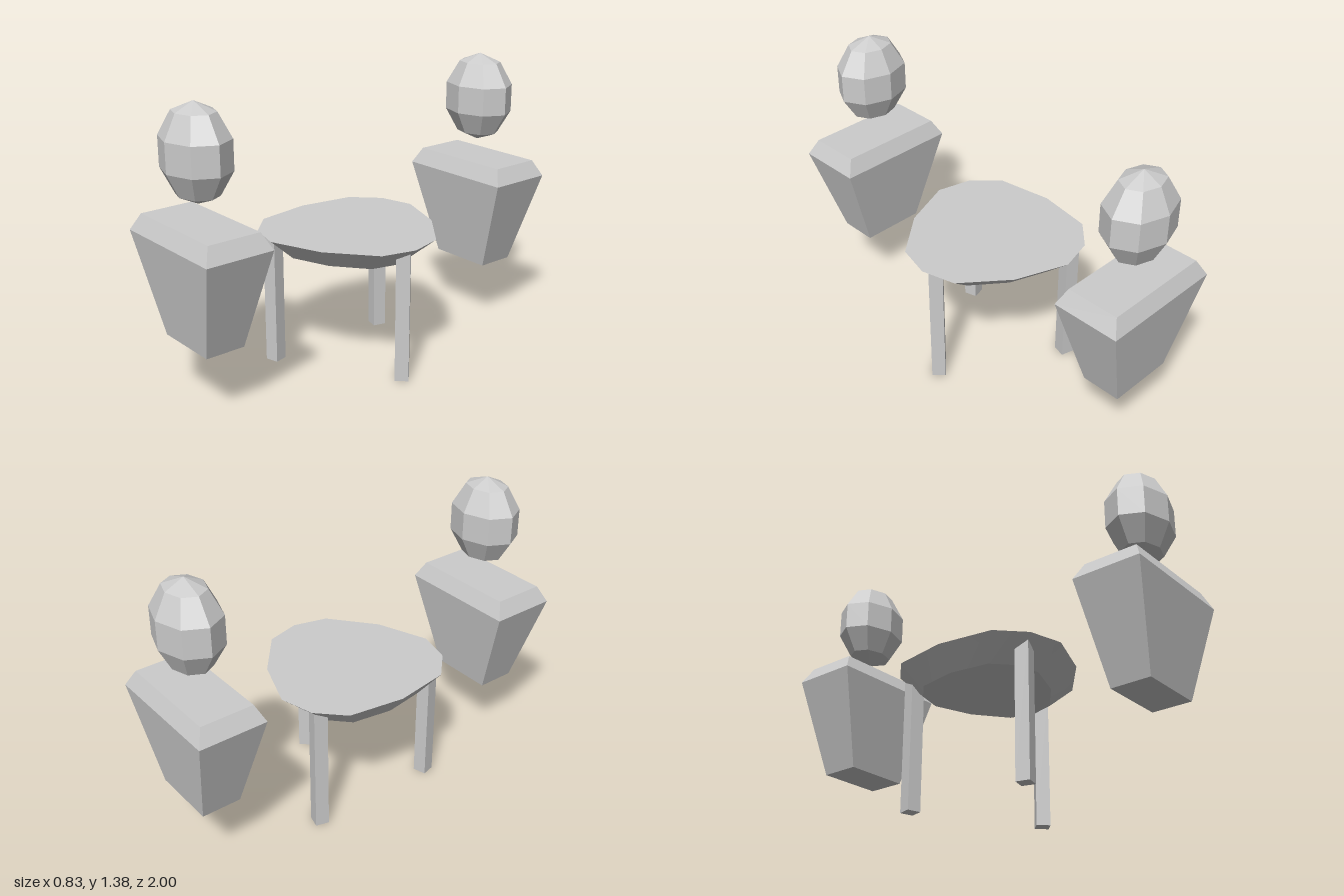
import * as THREE from 'three';
import { toCreasedNormals } from 'three/addons/utils/BufferGeometryUtils.js';

const material = new THREE.MeshStandardMaterial({ color: 0xcccccc, flatShading: true });
const smoothMaterial = new THREE.MeshStandardMaterial({ color: 0xcccccc });

function addMesh(parent, name, geometry, mat = material) {
  const mesh = new THREE.Mesh(geometry, mat);
  mesh.name = name;
  parent.add(mesh);
  return mesh;
}

// Irregular rounded table top whose rim tapers down to a smaller underside
function tableTopGeometry() {
  const half = [[-0.09, 0.43], [0.16, 0.337], [0.37, 0.165], [0.413, 0]];
  const rest = [[-0.417, 0], [-0.375, 0.268], [-0.255, 0.387]];
  const outline = [
    ...half,
    ...half.slice(0, 3).reverse().map(([x, z]) => [x, -z]),
    ...rest.slice(1).reverse().map(([x, z]) => [x, -z]),
    ...rest,
  ];
  const n = outline.length;
  const geometry = new THREE.CylinderGeometry(1, 1, 1, n, 1);
  const p = geometry.attributes.position;
  for (let i = 0; i < p.count; i++) {
    const top = p.getY(i) > 0;
    const x = p.getX(i), z = p.getZ(i);
    const y = top ? 0.662 : 0.552;
    if (Math.hypot(x, z) < 0.5) {
      p.setXYZ(i, -0.03, y, 0);
      continue;
    }
    const k = (Math.round(Math.atan2(x, z) / (2 * Math.PI) * n) + n) % n;
    const [ox, oz] = outline[k];
    if (top) p.setXYZ(i, ox, y, oz);
    else p.setXYZ(i, ox * 0.735 - 0.026, y, oz * 0.71);
  }
  return toCreasedNormals(geometry, 0.6);
}

// Tapered torso block with a bevelled top: three stacked rectangles
function torsoGeometry() {
  const levels = [
    { y: 0.317, w: 0.322, d: 0.19 },
    { y: 0.785, w: 0.612, d: 0.328 },
    { y: 0.862, w: 0.528, d: 0.255 },
  ];
  const geometry = new THREE.BoxGeometry(1, 1, 1, 1, 2, 1);
  const p = geometry.attributes.position;
  for (let i = 0; i < p.count; i++) {
    const { y, w, d } = levels[Math.round((p.getY(i) + 0.5) * 2)];
    p.setXYZ(i, p.getX(i) * w, y, p.getZ(i) * d);
  }
  return geometry;
}

export function createModel() {
  const model = new THREE.Group();
  model.name = 'tableWithTwoFigures';

  // Table on three square legs, each turned corner-outward
  const table = new THREE.Group();
  table.name = 'table';
  model.add(table);
  addMesh(table, 'tableTop', tableTopGeometry(), smoothMaterial);
  const legHeight = 0.64;
  const legs = [[0.331, 0, 45], [-0.22, 0.325, 15], [-0.22, -0.325, -15]];
  legs.forEach(([x, z, turn], i) => {
    const leg = addMesh(table, `tableLeg${i + 1}`, new THREE.BoxGeometry(0.065, legHeight, 0.065));
    leg.position.set(x, legHeight / 2, z);
    leg.rotation.y = THREE.MathUtils.degToRad(turn);
  });

  // A floating figure on each side of the table
  for (const side of [1, -1]) {
    const figure = new THREE.Group();
    figure.name = side > 0 ? 'frontFigure' : 'backFigure';
    figure.position.set(-0.032, 0, side * 0.835);
    addMesh(figure, 'torso', torsoGeometry());
    const headGeometry = new THREE.SphereGeometry(1, 8, 5);
    headGeometry.scale(0.191, 0.22, 0.151);
    addMesh(figure, 'head', headGeometry).position.y = 1.165;
    model.add(figure);
  }
  return model;
}
